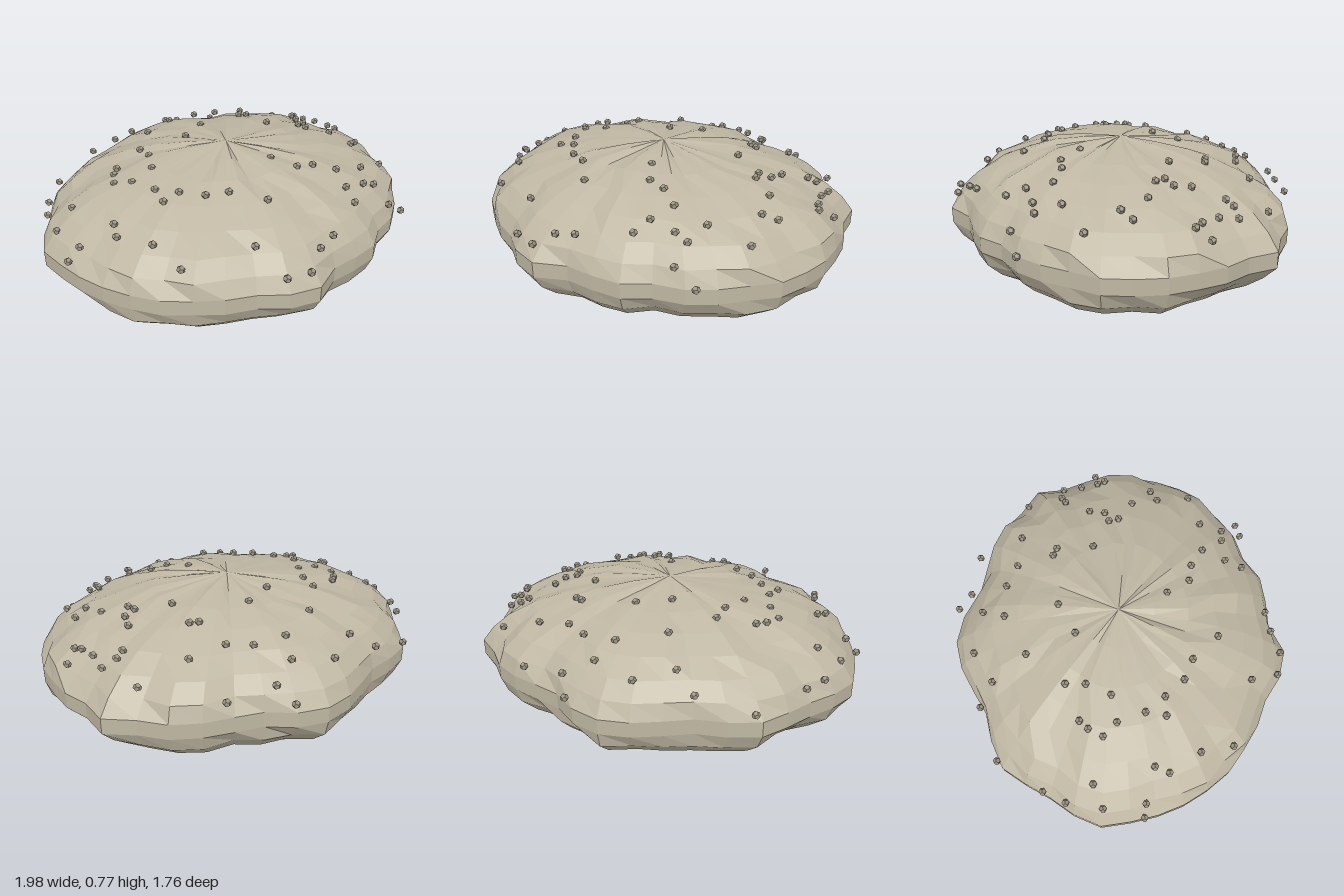
import * as THREE from 'three';

const COLS = 40, ROWS = 15;
const MID = 0.388, HALF_HEIGHT = 0.386;

// Uneven rim: scale per column, starting at the back and turning towards +x
const rim = [
  1.035, 0.985, 0.94, 0.93, 1.0, 1.03, 1.02, 1.07, 1.01, 1.025,
  1.053, 1.06, 1.05, 1.055, 1.04, 1.01, 1.01, 0.955, 0.995, 0.97,
  0.965, 1.037, 1.02, 0.995, 0.98, 1.02, 1.027, 1.045, 1.03, 1.03,
  1.04, 1.065, 1.06, 1.01, 1.01, 1.03, 0.99, 0.95, 0.97, 1.01,
];

// Pebble positions seen from above, as x, z pairs
const pebbleSpots = [
  0.17, -0.85, 0.45, -0.73, 0.61, 0.7, -0.66, -0.65, -0.83, -0.42, -0.89, -0.31,
  -0.93, -0.13, -0.98, 0.07, -0.92, 0.08, -0.82, -0.17, -0.79, 0.2, -0.76, 0.13,
  -0.7, 0.36, -0.67, 0.53, -0.35, 0.65, -0.3, 0.81, -0.18, 0.84, -0.08, 0.79,
  0.02, 0.77, 0.27, 0.67, 0.3, 0.58, 0.43, 0.58, 0.5, 0.59, 0.5, 0.7,
  0.35, 0.46, 0.53, 0.47, 0.73, 0.43, 0.69, 0.25, 0.76, 0.22, 0.66, 0.11,
  0.55, 0.03, 0.54, -0.02, 0.6, -0.04, 0.62, -0.12, 0.71, -0.25, 0.75, -0.27,
  0.82, -0.26, 0.82, -0.16, 0.84, -0.07, 0.86, -0.03, 0.92, -0.08, 0.74, -0.46,
  0.5, -0.49, 0.32, -0.51, 0.21, -0.57, 0.04, -0.58, 0.09, -0.7, 0.22, -0.77,
  -0.12, -0.75, -0.29, -0.65, -0.4, -0.72, -0.18, -0.47, -0.35, -0.28, -0.36, -0.18,
  -0.53, -0.22, -0.57, -0.18, -0.61, -0.11, -0.55, -0.04, -0.42, -0.06, -0.51, 0.1,
  -0.53, 0.2, -0.44, 0.2, -0.36, 0.3, -0.26, 0.35, -0.14, 0.49, 0.09, 0.25,
  0.16, 0.37, 0.25, 0.39, 0.35, -0.32, 0.39, -0.3, 0.38, -0.11, 0.06, -0.3,
  -0.1, -0.22,
];

// Repeatable value from 0 to 1, unrelated between neighbours
function noise(a, b) {
  let h = Math.imul(a + 11, 374761393) ^ Math.imul(b + 7, 668265263);
  h = Math.imul(h ^ (h >>> 13), 1274126177);
  h = Math.imul(h ^ (h >>> 15), 2246822519);
  return ((h ^ (h >>> 16)) >>> 0) / 4294967296;
}

// Flattened sphere; rows are dented in pairs so that the facets stay mostly flat
function boulderGeometry() {
  const geometry = new THREE.SphereGeometry(1, COLS, ROWS);
  const p = geometry.attributes.position;
  for (let row = 0; row <= ROWS; row++) {
    const flat = Math.sin((row / ROWS) * Math.PI);
    const pole = row === 0 || row === ROWS;
    for (let ix = 0; ix <= COLS; ix++) {
      const i = row * (COLS + 1) + ix;
      const col = (30 - ix + COLS) % COLS;
      const bump = noise(col, (row + 1) >> 1);
      const wide = (0.965 + 0.04 * bump) * (1 + (rim[col] - 1) * flat);
      const lift = pole ? 1 : 0.945 + 0.05 * bump;
      p.setXYZ(
        i,
        p.getX(i) * 0.955 * wide,
        MID + p.getY(i) * HALF_HEIGHT * lift,
        p.getZ(i) * 0.87 * wide,
      );
    }
  }
  geometry.computeVertexNormals();
  return geometry;
}

export function createModel() {
  const model = new THREE.Group();
  model.name = 'boulder';

  const stone = new THREE.MeshStandardMaterial({ color: 0xbfb7a3, flatShading: true });
  stone.name = 'stone';
  const darkStone = new THREE.MeshStandardMaterial({ color: 0x9c9585, flatShading: true });
  darkStone.name = 'dark stone';

  const rock = new THREE.Mesh(boulderGeometry(), stone);
  rock.name = 'rock';
  model.add(rock);

  // Pebbles scattered over the upper surface
  const pebbles = new THREE.Group();
  pebbles.name = 'pebbles';
  const pebbleGeometry = new THREE.DodecahedronGeometry(0.02);
  for (let i = 0; i < pebbleSpots.length; i += 2) {
    const x = pebbleSpots[i], z = pebbleSpots[i + 1];
    const rise = Math.sqrt(Math.max(0.02, 1 - (x / 1.02) ** 2 - (z / 0.9) ** 2));
    const pebble = new THREE.Mesh(pebbleGeometry, darkStone);
    pebble.name = 'pebble';
    pebble.position.set(x, MID + HALF_HEIGHT * rise - 0.01, z);
    pebbles.add(pebble);
  }
  model.add(pebbles);

  return model;
}
